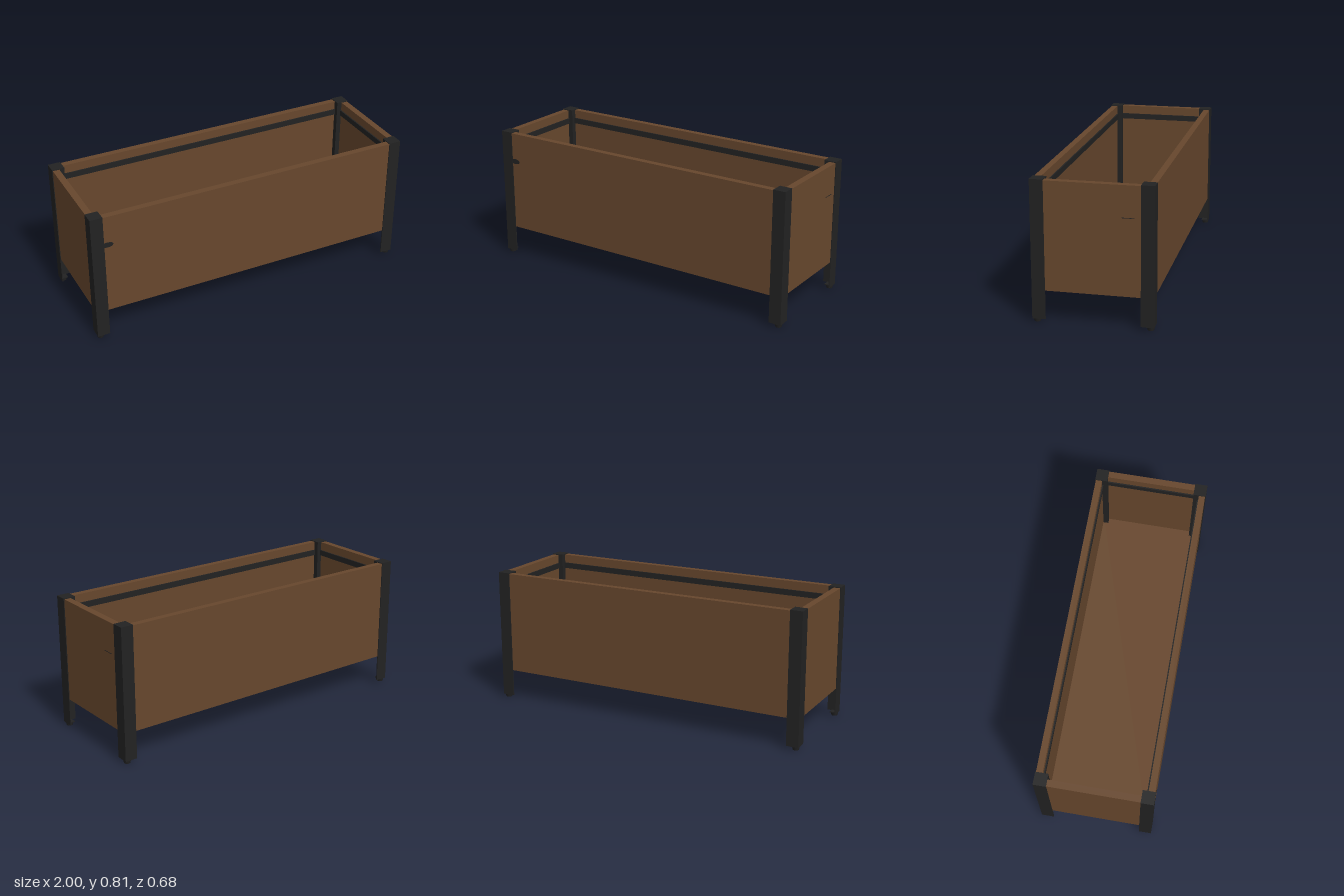
import * as THREE from 'three';

export function createModel() {
  const group = new THREE.Group();
  group.name = 'planterBox';
  const wood = new THREE.MeshStandardMaterial({ color: 0x67472d });
  wood.name = 'brown wood';
  const metal = new THREE.MeshStandardMaterial({ color: 0x222222 });
  metal.name = 'black metal';

  const add = (parent, name, geometry, material, x, y, z) => {
    const mesh = new THREE.Mesh(geometry, material);
    mesh.name = name;
    mesh.position.set(x, y, z);
    parent.add(mesh);
    return mesh;
  };
  const box = (parent, name, material, w, h, d, x, y, z) =>
    add(parent, name, new THREE.BoxGeometry(w, h, d), material, x, y, z);

  // Wall panels, with a liner rail along each inner face
  for (const s of [-1, 1]) {
    box(group, 'longPanel', wood, 1.988, 0.62, 0.038, 0, 0.495, s * 0.317);
    box(group, 'endPanel', wood, 0.04, 0.62, 0.596, s * 0.976, 0.495, 0);
    box(group, 'longRail', metal, 1.9, 0.035, 0.008, 0, 0.735, s * 0.294);
    box(group, 'endRail', metal, 0.008, 0.035, 0.588, s * 0.952, 0.735, 0);
  }

  // Floor carried on cross slats
  box(group, 'floor', wood, 1.912, 0.02, 0.596, 0, 0.235, 0);
  for (let i = -2; i <= 2; i++) {
    box(group, 'floorSlat', wood, 0.045, 0.035, 0.596, i * 0.41, 0.2075, 0);
  }

  // Angle-section legs: two flanges meeting at the outer corner
  const t = 0.006, w = 0.075;
  const angle = new THREE.Shape([
    [1, 0.34], [1 - w, 0.34], [1 - w, 0.34 - t], [1 - t, 0.34 - t],
    [1 - t, 0.34 - w], [1, 0.34 - w],
  ].map(([x, z]) => new THREE.Vector2(x, -z)));
  const legGeometry = new THREE.ExtrudeGeometry(angle, { depth: 0.79, bevelEnabled: false });
  legGeometry.rotateX(-Math.PI / 2);
  const footGeometry = new THREE.CylinderGeometry(0.0225, 0.018, 0.018, 16);

  for (const sx of [-1, 1]) for (const sz of [-1, 1]) {
    const leg = new THREE.Group();
    leg.name = 'leg';
    leg.scale.set(sx, 1, sz);
    add(leg, 'legAngle', legGeometry, metal, 0, 0.02, 0);
    box(leg, 'legCap', metal, w, 0.01, w, 1 - w / 2, 0.805, 0.34 - w / 2);
    box(leg, 'innerPost', metal, 0.032, 0.555, 0.032, 0.941, 0.5225, 0.282);
    box(leg, 'footPlate', metal, 0.045, 0.006, 0.045, 0.9765, 0.021, 0.3165);
    add(leg, 'foot', footGeometry, metal, 0.9765, 0.009, 0.3165);
    group.add(leg);
  }

  // Small dark marks on the panels
  const spot = new THREE.CylinderGeometry(1, 1, 0.002, 16);
  spot.rotateX(Math.PI / 2);
  add(group, 'frontMark', spot, metal, -0.905, 0.625, 0.337).scale.set(0.035, 0.016, 1);
  box(group, 'sideMark', metal, 0.002, 0.003, 0.07, 0.9965, 0.626, -0.195);

  return group;
}
